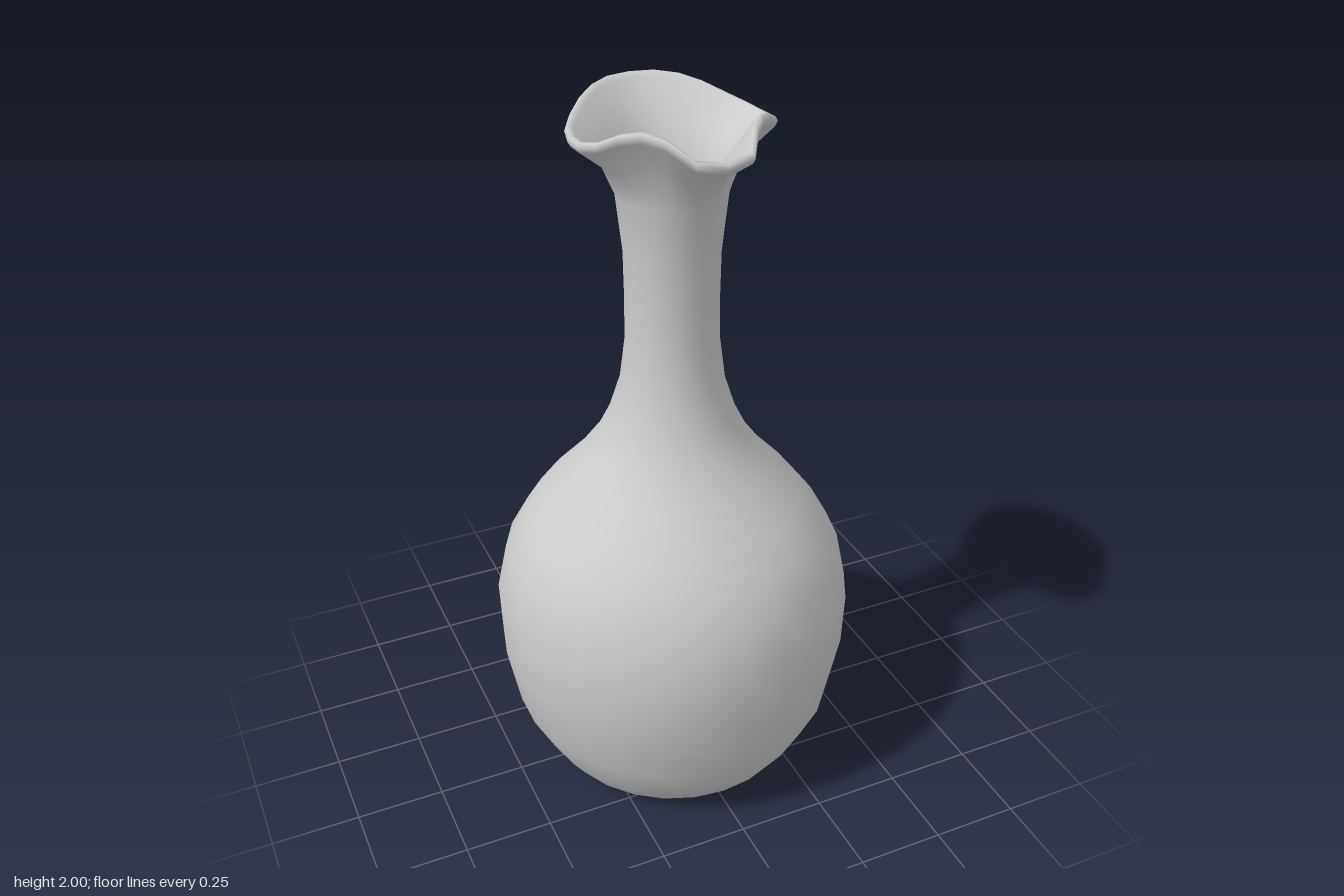
import * as THREE from 'three';
import { mergeVertices } from 'three/addons/utils/BufferGeometryUtils.js';

const SEGMENTS = 26;

// Mouth outline from the spout (front) round to the back, mirrored on the other side
const RIM_RADIUS = [0.32, 0.312, 0.259, 0.242, 0.243, 0.26, 0.265, 0.265, 0.265, 0.261, 0.26, 0.265, 0.275, 0.28];
const RIM_HEIGHT = [1.945, 1.955, 1.99, 1.998, 1.985, 1.957, 1.942, 1.938, 1.943, 1.957, 1.977, 1.992, 1.998, 1.998];
const MEAN_RADIUS = 0.265, MEAN_HEIGHT = 1.965;

// Each profile point: radius, height, how strongly it follows the mouth outline
const OUTSIDE = [
  [0, 0.012, 0], [0.09, 0.012, 0], [0.2, 0.01, 0], [0.28, 0.002, 0], [0.32, 0.001, 0],
  [0.37, 0.035, 0], [0.41, 0.095, 0], [0.47, 0.215, 0], [0.505, 0.4, 0], [0.51, 0.56, 0],
  [0.48, 0.7, 0], [0.425, 0.8, 0], [0.36, 0.885, 0], [0.275, 0.975, 0], [0.212, 1.06, 0],
  [0.175, 1.135, 0], [0.143, 1.235, 0], [0.127, 1.36, 0], [0.126, 1.48, 0], [0.128, 1.61, 0],
  [0.146, 1.77, 0.08], [0.183, 1.865, 0.42],
];
const LIP = [
  [0.258, 1.938, 0.97], [0.265, 1.952, 1], [0.26, 1.963, 1], [0.25, 1.965, 1], [0.242, 1.955, 0.97],
];
const INSIDE = [
  [0.165, 1.88, 0.42], [0.122, 1.775, 0.08], [0.103, 1.61, 0], [0.1, 1.48, 0], [0.102, 1.36, 0],
  [0.118, 1.235, 0], [0.15, 1.13, 0], [0.188, 1.05, 0], [0.25, 0.965, 0], [0.335, 0.875, 0],
  [0.4, 0.79, 0], [0.455, 0.69, 0], [0.485, 0.56, 0], [0.48, 0.4, 0], [0.445, 0.225, 0],
  [0.385, 0.11, 0], [0.32, 0.05, 0], [0.2, 0.035, 0], [0, 0.035, 0],
];

// Turn the profile, then pull the upper rows out to the mouth outline
function pouredLathe(profile) {
  const geometry = new THREE.LatheGeometry(profile.map(([r, y]) => new THREE.Vector2(r, y)), SEGMENTS);
  const position = geometry.attributes.position;
  for (let i = 0; i < position.count; i++) {
    const [r, y, follow] = profile[i % profile.length];
    const column = Math.floor(i / profile.length);
    const step = Math.min(column, SEGMENTS - column);
    const angle = (column % SEGMENTS) / SEGMENTS * Math.PI * 2;
    const radius = r + follow * (RIM_RADIUS[step] - MEAN_RADIUS);
    const height = y + follow * (RIM_HEIGHT[step] - MEAN_HEIGHT);
    position.setXYZ(i, radius * Math.sin(angle), height, radius * Math.cos(angle));
  }
  // Weld the seam so the shading stays smooth all the way round
  geometry.deleteAttribute('uv');
  geometry.deleteAttribute('normal');
  const welded = mergeVertices(geometry, 1e-5);
  welded.computeVertexNormals();
  return welded;
}

export function createModel() {
  const group = new THREE.Group();
  group.name = 'carafe';
  const material = new THREE.MeshStandardMaterial({ color: 0xcccccc });

  // Body, neck, spouted lip and inner wall form one continuous skin
  const vessel = new THREE.Mesh(pouredLathe([...OUTSIDE, ...LIP, ...INSIDE]), material);
  vessel.name = 'vessel';
  group.add(vessel);
  return group;
}
